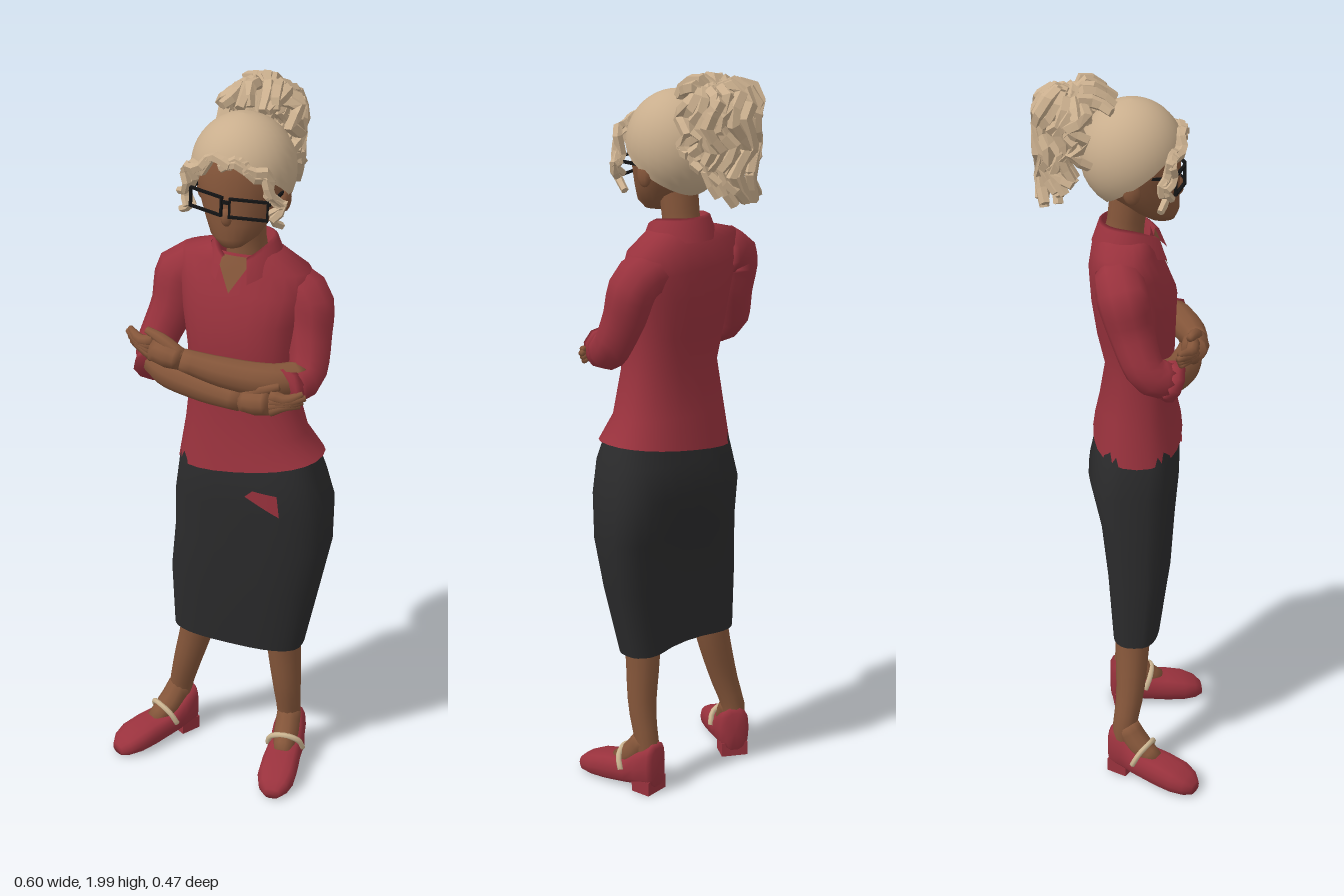
import * as THREE from 'three';

const V = (x, y, z) => new THREE.Vector3(x, y, z);
const mat = (name, color) => new THREE.MeshStandardMaterial({ name, color, side: THREE.DoubleSide });
const M = {
  skin: mat('brown skin', 0x85563a),
  hair: mat('blonde hair', 0xc9ae8d),
  red: mat('red cloth', 0x99323d),
  dark: mat('charcoal skirt', 0x2b2b2c),
  black: mat('black frames', 0x131314),
  strap: mat('pale strap', 0xcdb692),
};

// Skin a list of equal-length point rows into a surface
function surface(rows, { closed = true, cap = true, flat = false } = {}) {
  const n = rows[0].length;
  if (cap) {
    const end = (r) => { const c = V(0, 0, 0); r.forEach((p) => c.add(p)); c.divideScalar(n); return r.map(() => c); };
    rows = [end(rows[0]), ...rows, end(rows[rows.length - 1])];
  }
  const idx = [];
  for (let i = 0; i < rows.length - 1; i++) for (let j = 0; j < (closed ? n : n - 1); j++) {
    const a = i * n + j, b = i * n + (j + 1) % n;
    idx.push(a, b, a + n, b, b + n, a + n);
  }
  let g = new THREE.BufferGeometry().setFromPoints(rows.flat());
  g.setIndex(idx);
  if (flat) g = g.toNonIndexed();
  g.computeVertexNormals();
  return g;
}

// Upright loft; ring = [y, cx, cz, rx, rz, tilt]
const pw = (v, e) => Math.sign(v) * Math.abs(v) ** (2 / e);
function loft(rings, { n = 24, e = 2, cap = true, shape = () => {} } = {}) {
  return surface(rings.map(([y, cx, cz, rx, rz, tilt = 0]) => Array.from({ length: n }, (_, j) => {
    const a = j / n * Math.PI * 2, dx = rx * pw(Math.sin(a), e);
    const p = V(cx + dx, y + tilt * dx, cz + rz * pw(Math.cos(a), e));
    shape(p, a);
    return p;
  })), { cap });
}

// Tapered tube through points
function tube(pts, radii, { n = 10, seg = 12, flat = false } = {}) {
  const c = new THREE.CatmullRomCurve3(pts), f = c.computeFrenetFrames(seg, false);
  return surface(Array.from({ length: seg + 1 }, (_, i) => {
    const u = i / seg, k = u * (radii.length - 1), k0 = Math.min(Math.floor(k), radii.length - 2);
    const r = THREE.MathUtils.lerp(radii[k0], radii[k0 + 1], k - k0), o = c.getPointAt(u);
    return Array.from({ length: n }, (_, j) => {
      const a = j / n * Math.PI * 2;
      return o.clone().addScaledVector(f.normals[i], r * Math.cos(a)).addScaledVector(f.binormals[i], r * Math.sin(a));
    });
  }), { flat });
}

// Triangle laid just over the front of a loft
function patch(rings, e, [a, b, c], off = 0.006, n = 6) {
  const z = (x, y) => {
    const i = Math.max(0, rings.findIndex((r, k) => k < rings.length - 1 && rings[k + 1][0] >= y));
    const t = (y - rings[i][0]) / (rings[i + 1][0] - rings[i][0]);
    const [cx, cz, rx, rz] = [1, 2, 3, 4].map((k) => THREE.MathUtils.lerp(rings[i][k], rings[i + 1][k], t));
    return cz + rz * (1 - Math.min(1, Math.abs((x - cx) / rx)) ** e) ** (1 / e) + off;
  };
  const at = (u, v) => {
    const x = a[0] + ((b[0] - a[0]) * (1 - v) + (c[0] - a[0]) * v) * u;
    const y = a[1] + ((b[1] - a[1]) * (1 - v) + (c[1] - a[1]) * v) * u;
    return V(x, y, z(x, y));
  };
  const row = (i) => Array.from({ length: n + 1 }, (_, j) => at(i / n, j / n));
  return surface(Array.from({ length: n + 1 }, (_, i) => row(i)), { closed: false, cap: false });
}

export function createModel() {
  const model = new THREE.Group();
  const add = (name, geo, m, parent = model) => {
    const mesh = new THREE.Mesh(geo, m);
    mesh.name = name;
    parent.add(mesh);
    return mesh;
  };
  const group = (name) => { const g = new THREE.Group(); g.name = name; model.add(g); return g; };
  let seed = 7;
  const rnd = () => { seed = (seed * 16807) % 2147483647; return seed / 2147483647; };
  const jit = (s) => (rnd() - 0.5) * 2 * s;

  // Skirt, hollowed below the seat
  const skirt = [[0.405, 0.035, 0.04, 0.19, 0.073], [0.6, 0.055, 0.045, 0.212, 0.095], [0.75, 0.077, 0.04, 0.22, 0.11],
    [0.87, 0.078, 0.035, 0.218, 0.125], [0.96, 0.075, 0.045, 0.2, 0.116], [1.03, 0.07, 0.045, 0.18, 0.1]];
  add('skirt', loft(skirt, { n: 32, e: 2.8, cap: false, shape: (p, a) => {
    if (p.y < 0.8) p.z += 0.035 * Math.max(0, -Math.cos(a)) ** 10;
  } }), M.dark);
  add('skirtPatch', patch(skirt, 2.8, [[0.1, 0.922], [0.195, 0.872], [0.122, 0.943]]), M.red);
  add('skirtPatchTop', patch(skirt, 2.8, [[0.122, 0.943], [0.195, 0.872], [0.188, 0.936]]), M.red);

  // Shirt with slanted hem and shoulders
  const shirt = [[0.99, 0.072, 0.045, 0.202, 0.122, 0.15], [1.08, 0.058, 0.045, 0.168, 0.106], [1.2, 0.05, 0.05, 0.145, 0.092],
    [1.3, 0.045, 0.04, 0.15, 0.105], [1.4, 0.043, 0.034, 0.162, 0.114], [1.48, 0.042, 0.015, 0.178, 0.1, -0.06],
    [1.54, 0.042, 0.008, 0.172, 0.084, -0.08], [1.575, 0.042, 0.012, 0.095, 0.065]];
  add('shirt', loft(shirt, { e: 2.3, cap: false }), M.red);
  add('neckOpening', patch(shirt, 2.3, [[0.036, 1.482], [0.092, 1.572], [-0.012, 1.572]], 0.009), M.skin);

  // Folded collar, open at the front
  const collar = [[0.06, 1.54], [0.073, 1.61], [0.083, 1.605], [0.104, 1.55]].map(([r, y]) =>
    Array.from({ length: 25 }, (_, j) => {
      const a = 0.42 + (j / 24) * (Math.PI * 2 - 0.84), f = ((1 + Math.cos(a)) / 2) ** 4;
      return V(0.042 + r * Math.sin(a), y - 0.045 * f, 0.015 + r * Math.cos(a) * (0.88 + 0.27 * f));
    }));
  add('collar', surface(collar, { closed: false, cap: false }), M.red);

  // Folded arms: sleeve, cuff, forearm, hand
  const arms = [
    { name: 'right', sleeve: [V(-0.07, 1.49, -0.005), V(-0.135, 1.485, 0.003), V(-0.158, 1.38, 0.03), V(-0.19, 1.275, 0.075), V(-0.17, 1.25, 0.125)],
      fore: [V(-0.19, 1.26, 0.09), V(-0.13, 1.248, 0.145), V(0.0, 1.232, 0.178), V(0.1, 1.22, 0.187)], tip: V(0.265, 1.24, 0.16) },
    { name: 'left', sleeve: [V(0.13, 1.48, -0.005), V(0.205, 1.455, 0.005), V(0.225, 1.36, 0.03), V(0.233, 1.265, 0.08), V(0.205, 1.255, 0.13)],
      fore: [V(0.23, 1.265, 0.09), V(0.17, 1.27, 0.145), V(0.05, 1.288, 0.182), V(-0.06, 1.312, 0.2)], tip: V(-0.235, 1.335, 0.15) },
  ];
  for (const { name, sleeve, fore, tip } of arms) {
    const g = group(name + 'Arm');
    add('sleeve', tube(sleeve, [0.062, 0.068, 0.06, 0.053, 0.05], { seg: 14 }), M.red, g);
    const d = sleeve[4].clone().sub(sleeve[3]).multiplyScalar(0.28);
    add('cuff', tube([sleeve[4].clone().sub(d), sleeve[4].clone().add(d)], [0.05, 0.058], { seg: 2 }), M.red, g);
    add('forearm', tube(fore, [0.046, 0.045, 0.04, 0.03]), M.skin, g);
    const wrist = fore[3], knuckle = wrist.clone().lerp(tip, 0.48).add(V(0, 0, 0.014));
    add('palm', tube([wrist, wrist.clone().lerp(knuckle, 0.5), knuckle], [0.029, 0.037, 0.033], { seg: 6 }), M.skin, g);
    for (let k = 0; k < 4; k++) {
      const y = (k - 1.5) * 0.015, l = 1 - 0.08 * Math.abs(k - 2);
      const end = knuckle.clone().lerp(tip, l).add(V(0, y * 0.75, 0));
      add('finger', tube([knuckle.clone().add(V(0, y, 0)), knuckle.clone().lerp(end, 0.5).add(V(0, 0, 0.01)), end],
        [0.017, 0.015, 0.008], { n: 8, seg: 5 }), M.skin, g);
    }
    add('thumb', tube([wrist.clone().add(V(0, 0.01, 0)), wrist.clone().lerp(knuckle, 0.7).add(V(0, 0.035, 0)),
      knuckle.clone().lerp(tip, 0.25).add(V(0, 0.042, 0))], [0.018, 0.018, 0.01], { n: 8, seg: 5 }), M.skin, g);
  }

  // Legs and shoes
  const legs = [
    { name: 'right', pts: [V(-0.07, 0.55, 0.045), V(-0.095, 0.39, 0.035), V(-0.135, 0.24, 0.028), V(-0.162, 0.13, 0.012), V(-0.158, 0.06, 0.012)], at: [-0.155, 0.01], turn: -0.53 },
    { name: 'left', pts: [V(0.165, 0.55, 0.045), V(0.168, 0.39, 0.035), V(0.177, 0.24, 0.028), V(0.177, 0.13, 0.008), V(0.175, 0.06, 0.005)], at: [0.178, 0.003], turn: 0.15 },
  ];
  const shoe = [[-0.035, 0.028, 0.02, 0.135], [-0.024, 0.042, 0.015, 0.148], [0.02, 0.047, 0.015, 0.122], [0.06, 0.048, 0.01, 0.088],
    [0.13, 0.053, 0.002, 0.08], [0.18, 0.053, 0, 0.068], [0.215, 0.042, 0, 0.052], [0.236, 0.022, 0.003, 0.034]];
  for (const { name, pts, at, turn } of legs) {
    add(name + 'Leg', tube(pts, [0.05, 0.05, 0.043, 0.035, 0.03], { n: 14 }), M.skin);
    const g = group(name + 'Foot');
    g.position.set(at[0], 0, at[1]);
    g.rotation.y = turn;
    add('shoe', surface(shoe.map(([s, w, b, t]) => Array.from({ length: 14 }, (_, j) => {
      const a = j / 14 * Math.PI * 2;
      return V(w * pw(Math.cos(a), 2.8), (b + t) / 2 + (t - b) / 2 * pw(Math.sin(a), 2.8), s);
    }))), M.red, g);
    add('heel', new THREE.BoxGeometry(0.076, 0.04, 0.06), M.red, g).position.set(0, 0.02, 0);
    add('instep', tube([V(0, 0.15, 0.012), V(0, 0.1, 0.05), V(0, 0.065, 0.105)], [0.034, 0.036, 0.026], { seg: 6 }), M.skin, g);
    add('shoeStrap', tube([V(-0.051, 0.06, 0.06), V(-0.04, 0.095, 0.075), V(0, 0.112, 0.085), V(0.04, 0.095, 0.075), V(0.051, 0.06, 0.06)],
      [0.008, 0.008], { n: 6 }), M.strap, g);
  }

  // Neck, head, nose and ears
  add('neck', tube([V(0.042, 1.5, 0), V(0.042, 1.6, 0.012), V(0.042, 1.7, 0.025)], [0.06, 0.05, 0.052], { n: 14 }), M.skin);
  add('head', loft([[1.615, 0.042, 0.105, 0.03, 0.034], [1.64, 0.042, 0.09, 0.062, 0.06], [1.68, 0.042, 0.062, 0.086, 0.088],
    [1.74, 0.04, 0.035, 0.11, 0.118], [1.8, 0.04, 0.03, 0.119, 0.122], [1.87, 0.04, 0.03, 0.1, 0.104], [1.905, 0.04, 0.03, 0.05, 0.05]]), M.skin);
  const nose = add('nose', new THREE.SphereGeometry(1, 10, 8), M.skin);
  nose.scale.set(0.016, 0.026, 0.016);
  nose.position.set(0.042, 1.702, 0.146);
  for (const s of [-1, 1]) {
    const ear = add('ear', new THREE.SphereGeometry(1, 10, 8), M.skin);
    ear.scale.set(0.014, 0.034, 0.024);
    ear.position.set(0.041 + s * 0.112, 1.725, 0.03);
  }

  // Hair cap with a hairline that drops toward the nape
  add('hairCap', surface(Array.from({ length: 13 }, (_, i) => Array.from({ length: 28 }, (_, j) => {
    const a = j / 28 * Math.PI * 2, th = (1.13 + 1.5 * ((1 - Math.cos(a)) / 2) ** 0.8) * (1 - i / 12);
    return V(0.04 + 0.135 * Math.sin(th) * Math.sin(a), 1.79 + 0.143 * Math.cos(th), 0.028 + 0.135 * Math.sin(th) * Math.cos(a));
  })), { cap: false }), M.hair);

  // Tied bunch of kinked locks at the back
  const bunch = group('hairBunch');
  const lock = (pts, r, parent) => add('lock', tube(pts, [r * 0.9, r, r, r * 0.75], { n: 5, seg: pts.length * 2 - 2, flat: true }), M.hair, parent);
  for (let k = 0; k < 32; k++) {
    const a = Math.PI + ((k % 16) / 15 - 0.5) * 3.5 + jit(0.12), layer = k < 16 ? 1 : 0.5;
    const sx = Math.sin(a), sz = Math.cos(a), w = Math.abs(sx) * layer;
    const drop = 0.13 + 0.16 * Math.max(0, -sz) * (0.65 + 0.35 * rnd());
    const pts = [V(0.035 + sx * 0.02, 1.88, -0.085), V(0.037 + sx * 0.05 * layer, 1.965 - 0.03 * w + jit(0.015), -0.11 + sz * 0.04 * layer)];
    for (let i = 0; i < 5; i++) {
      const kink = (i % 2 ? 1 : -1) * (0.012 + 0.012 * rnd());
      pts.push(V(0.03 + sx * 0.1 * layer - sz * kink + jit(0.008), 1.945 - 0.035 * w - drop * i / 4 + jit(0.014),
        -0.12 + sz * 0.085 * layer + sx * kink + jit(0.01)));
    }
    lock(pts, 0.018, bunch);
  }
  // Short tufts over the crown
  for (let k = 0; k < 6; k++) {
    const x = -0.025 + k * 0.025, y = 1.972 - 6 * (x - 0.04) ** 2;
    lock([V(0.04, 1.9, -0.09), V(x, y + jit(0.01), -0.11), V(x + jit(0.02), y + jit(0.008) - 0.01, -0.06), V(x + jit(0.025), 1.925, -0.02 + jit(0.02))], 0.018, bunch);
  }

  // Loose locks framing the face
  const fringe = group('fringe');
  for (const s of [-1, 1]) for (let k = 0; k < 3; k++) {
    const path = [[-0.01, 1.845, 0.16], [0.04, 1.86, 0.158], [0.07, 1.825, 0.152], [0.108, 1.82, 0.128],
      [0.106, 1.765, 0.128], [0.135, 1.735, 0.108], [0.108, 1.705, 0.122], [0.13, 1.675, 0.1]];
    lock(path.slice(0, 8 - k).map(([x, y, z]) =>
      V(0.04 + s * (x + jit(0.012)), y + jit(0.012), z + jit(0.01))), 0.0135, fringe);
  }

  // Glasses, wrapped slightly around the face
  const glasses = group('glasses');
  glasses.position.set(0.045, 1.734, 0.155);
  glasses.rotation.z = -0.05;
  const rect = (w, h, P) => new P([[-w, -h], [w, -h], [w, h], [-w, h]].map(([x, y]) => new THREE.Vector2(x, y)));
  for (const s of [-1, 1]) {
    const rim = rect(0.05, 0.027, THREE.Shape);
    rim.holes.push(rect(0.045, 0.021, THREE.Path));
    const frame = add('rim', new THREE.ExtrudeGeometry(rim, { depth: 0.008, bevelEnabled: false }), M.black, glasses);
    frame.position.set(s * 0.056, 0, -0.008);
    frame.rotation.y = s * 0.25;
    add('temple', new THREE.BoxGeometry(0.006, 0.008, 0.1), M.black, glasses).position.set(s * 0.106, 0.018, -0.066);
  }
  add('bridge', new THREE.BoxGeometry(0.016, 0.008, 0.008), M.black, glasses).position.set(0, 0.012, 0.006);

  return model;
}
